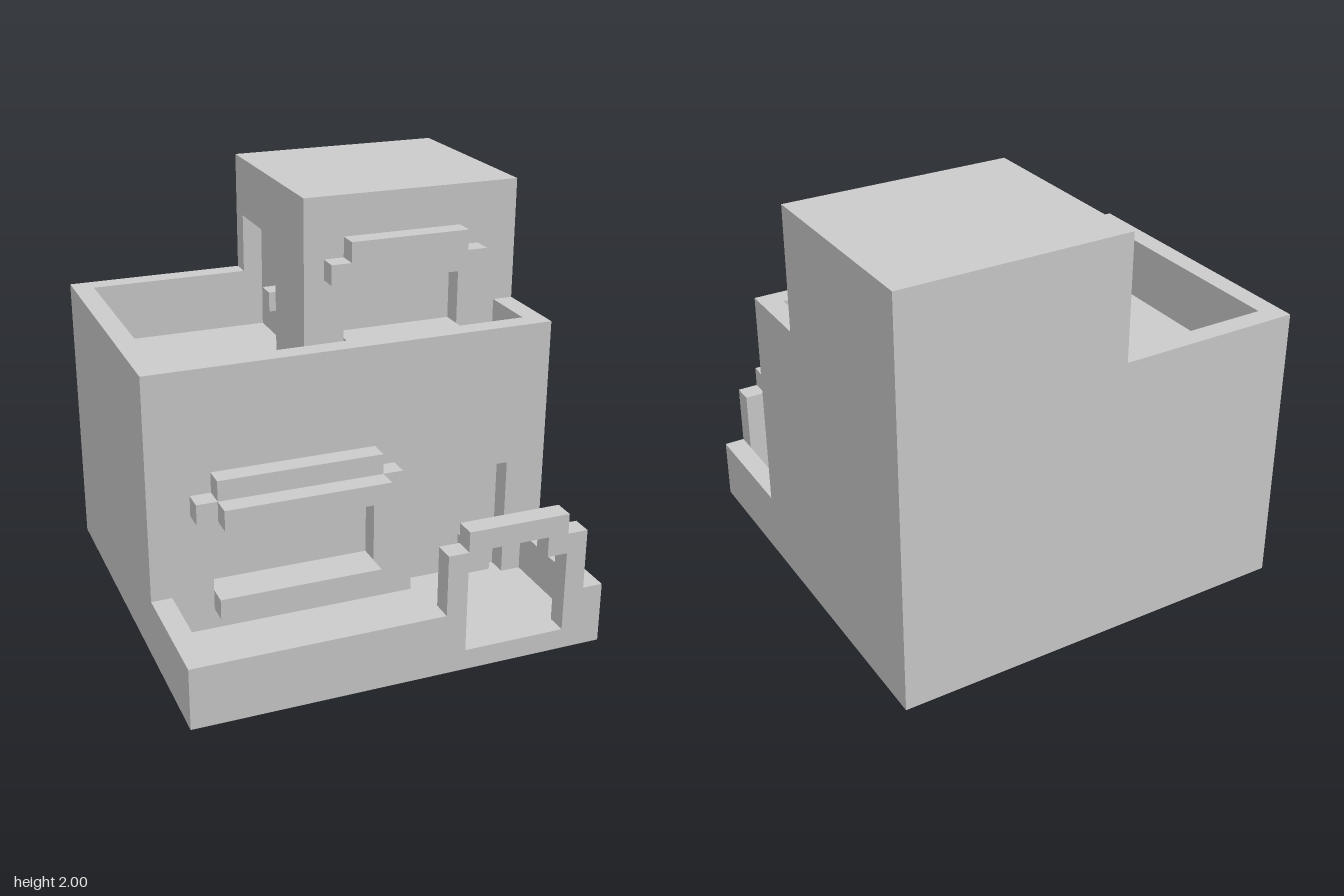
import * as THREE from 'three';

const material = new THREE.MeshStandardMaterial({ color: 0xcccccc, flatShading: true });

export function createModel() {
  const model = new THREE.Group();
  model.name = 'house';

  const add = (name, geometry) => {
    const mesh = new THREE.Mesh(geometry, material);
    mesh.name = name;
    model.add(mesh);
    return mesh;
  };

  // Box given by its lower and upper corner on each axis
  const block = (name, [x0, x1], [y0, y1], [z0, z1]) =>
    add(name, new THREE.BoxGeometry(x1 - x0, y1 - y0, z1 - z0)
      .translate((x0 + x1) / 2, (y0 + y1) / 2, (z0 + z1) / 2));

  const points = list => list.map(([x, y]) => new THREE.Vector2(x, y));
  const rect = (x0, x1, y0, y1) => [[x0, y0], [x1, y0], [x1, y1], [x0, y1]];

  // Upright wall, 0.1 thick, with openings cut through
  const wallGeometry = (outline, openings) => {
    const shape = new THREE.Shape(points(outline));
    openings.forEach(o => shape.holes.push(new THREE.Path(points(o))));
    return new THREE.ExtrudeGeometry(shape, { depth: 0.1, bevelEnabled: false });
  };

  // Main building; its top is the roof terrace
  block('houseBody', [-1, 1], [0, 1.1], [-1, 0.3]);
  add('houseFrontWall', wallGeometry(rect(-1, 1, 0, 1.4), [
    rect(-0.7, 0.1, 0.3, 0.7),
    rect(0.3, 0.8, 0.1, 0.7),
  ]).translate(0, 0, 0.3));
  block('frontDoorKnob', [0.6, 0.7], [0.2, 0.3], [0.3, 0.4]);

  // Terrace parapet
  block('parapetBack', [-1, -0.1], [1.1, 1.4], [-1, -0.9]);
  block('parapetRightOfFront', [-1, -0.9], [1.1, 1.4], [-0.9, 0.3]);
  block('parapetLeftOfFront', [0.9, 1], [1.1, 1.4], [0, 0.3]);

  // Lower window sill and stepped awning
  block('lowerWindowSill', [-0.7, 0.1], [0.2, 0.3], [0.4, 0.5]);
  block('lowerAwningBase', [-0.8, 0.2], [0.7, 0.8], [0.4, 0.5]);
  block('lowerAwningTop', [-0.7, 0.1], [0.8, 0.9], [0.4, 0.5]);
  block('lowerAwningFront', [-0.7, 0.1], [0.7, 0.8], [0.5, 0.6]);

  // Tower with a front window and a door onto the terrace
  block('towerBody', [0, 1], [1.1, 2], [-1, -0.1]);
  add('towerFrontWall', wallGeometry(rect(0, 1, 1.1, 2), [
    rect(0.1, 0.7, 1.3, 1.6),
  ]).translate(0, 0, -0.1));
  add('towerSideWall', wallGeometry([
    [-1, 1.1], [-0.9, 1.1], [-0.9, 1.7], [-0.4, 1.7],
    [-0.4, 1.1], [0, 1.1], [0, 2], [-1, 2],
  ], []).rotateY(-Math.PI / 2));
  block('terraceDoorKnob', [-0.1, 0], [1.3, 1.4], [-0.6, -0.5]);

  // Upper window sill and awning
  block('upperWindowSill', [0.1, 0.7], [1.2, 1.3], [0, 0.1]);
  block('upperAwningBase', [0, 0.8], [1.6, 1.7], [0, 0.1]);
  block('upperAwningTop', [0.1, 0.7], [1.7, 1.8], [0, 0.1]);

  // Front yard with low walls and a stepped gateway
  block('yardFloor', [-1, 1], [0, 0.1], [0.4, 0.9]);
  for (const [name, x] of [['yardWallRight', -1], ['yardWallLeft', 0.9]]) {
    block(name, [x, x + 0.1], [0.1, 0.3], [0.4, 0.9]);
  }
  add('yardFrontWallWithGateway', wallGeometry([
    [-1, 0], [1, 0], [1, 0.3], [0.9, 0.3], [0.9, 0.6], [0.8, 0.6], [0.8, 0.7],
    [0.3, 0.7], [0.3, 0.6], [0.2, 0.6], [0.2, 0.3], [-1, 0.3],
  ], [[
    [0.3, 0.1], [0.8, 0.1], [0.8, 0.5], [0.7, 0.5],
    [0.7, 0.6], [0.4, 0.6], [0.4, 0.5], [0.3, 0.5],
  ]]).translate(0, 0, 0.9));

  return model;
}
